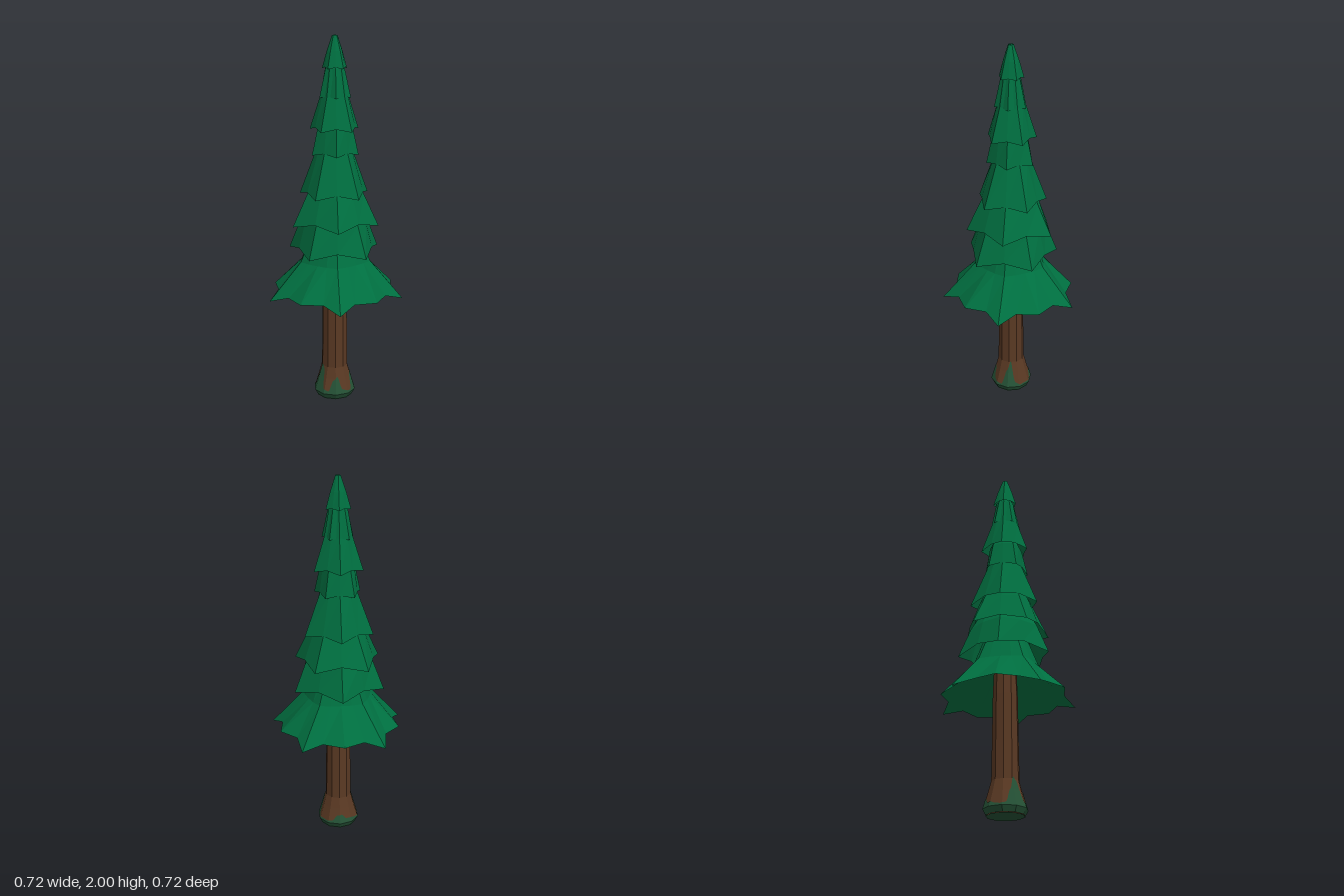
import * as THREE from 'three';

const TAU = Math.PI * 2;
const COS36 = Math.cos(Math.PI / 5);
const AXIS_Z = 0.016; // trunk axis sits slightly forward of the centre

const material = (color) =>
  new THREE.MeshStandardMaterial({ color, flatShading: true, side: THREE.DoubleSide });

// Skins closed rings; point(ring, k, angle) returns [radius, y, angle shift] at step k of n.
// Angle 0 is +z and grows toward +x.
function loft(rings, n, startAngle, point) {
  const pos = [], index = [];
  for (let i = 0; i < rings; i++) {
    for (let k = 0; k < n; k++) {
      const a = startAngle + (k / n) * TAU;
      const [r, y, shift = 0] = point(i, k, a);
      pos.push(r * Math.sin(a + shift), y, r * Math.cos(a + shift));
    }
  }
  for (let i = 0; i < rings - 1; i++) {
    for (let k = 0; k < n; k++) {
      const a = i * n + k, b = i * n + (k + 1) % n, c = a + n, d = b + n;
      index.push(a, b, d, a, d, c);
    }
  }
  const geo = new THREE.BufferGeometry();
  geo.setAttribute('position', new THREE.Float32BufferAttribute(pos, 3));
  geo.setIndex(index);
  geo.computeVertexNormals();
  return geo;
}

// Trunk outline [radius, y], shared by the bark and the moss
const SIDES = 10;
const TRUNK = [[0.098, 0.005], [0.114, 0.035], [0.089, 0.12], [0.073, 0.18], [0.067, 0.64], [0.055, 0.95]];

function trunkRadius(y) {
  let i = 0;
  while (i < TRUNK.length - 2 && y > TRUNK[i + 1][1]) i++;
  const [r0, y0] = TRUNK[i], [r1, y1] = TRUNK[i + 1];
  return r0 + (r1 - r0) * (y - y0) / (y1 - y0);
}

// Height of the moss edge every 15 degrees around the trunk
const MOSS = [0.05, 0.045, 0.13, 0.185, 0.06, 0.045, 0.045, 0.045, 0.05, 0.08, 0.085, 0.06,
  0.06, 0.05, 0.045, 0.05, 0.12, 0.19, 0.17, 0.06, 0.05, 0.11, 0.13, 0.06];

// Branch tiers: [tip radius, tip y, upper radius, upper y, top radius, top y]
const TIERS = [
  [0.256, 0.85, 0.188, 1.02, 0.14, 1.10],
  [0.242, 1.00, 0.160, 1.17, 0.12, 1.25],
  [0.194, 1.16, 0.106, 1.39, 0.08, 1.46],
  [0.130, 1.38, 0.096, 1.53, 0.06, 1.60],
  [0.137, 1.51, 0.078, 1.69, 0.050, 1.84],
  [0.087, 1.68, 0.053, 1.83, 0.03, 1.88],
  [0.069, 1.83, 0.043, 1.92, 0.015, 2.0],
];

export function createModel() {
  const group = new THREE.Group();
  const green = material(0x006f40), brown = material(0x5a3923), mossGreen = material(0x255236);

  const add = (name, geo, mat, y = 0) => {
    const mesh = new THREE.Mesh(geo, mat);
    mesh.name = name;
    mesh.position.set(0, y, AXIS_Z);
    group.add(mesh);
  };

  // Trunk with flared foot
  add('trunk', loft(TRUNK.length, SIDES, 0, (i) => TRUNK[i]), brown);

  // Moss skin hugging the faceted foot, with a wavy upper edge
  const rows = [0.005, 0.035, 0.08, 0.12, 0.18, 0.2];
  const steps = 120;
  add('moss', loft(rows.length, steps, 0, (i, k, a) => {
    const t = (k / steps) * MOSS.length, m = Math.floor(t);
    const blend = THREE.MathUtils.smoothstep(t - m, 0, 1);
    const edge = THREE.MathUtils.lerp(MOSS[m], MOSS[(m + 1) % MOSS.length], blend);
    const y = Math.min(rows[i], edge);
    const seg = TAU / SIDES;
    const facet = Math.cos(seg / 2) / Math.cos((a % seg) - seg / 2);
    return [(trunkRadius(y) + 0.003) * facet, y];
  }), mossGreen);

  // Underside of the foot
  const base = new THREE.CircleGeometry(0.101, SIDES, -Math.PI / 2);
  base.rotateX(Math.PI / 2);
  add('footUnderside', base, mossGreen, 0.002);

  // Lowest skirt: ten points, alternating long and short, with folds between.
  // The first ring closes the underside against the trunk.
  const skirt = [
    [[0.058, 0.86], [0.058, 0.86], [0.058, 0.86], [0.058, 0.86]],
    [[0.379, 0.60], [0.311, 0.634, -0.05], [0.343, 0.632], [0.311, 0.634, 0.05]],
    [[0.198, 0.80], [0.182, 0.80], [0.175, 0.80], [0.182, 0.80]],
    [[0.13, 0.95], [0.125, 0.95], [0.12, 0.95], [0.125, 0.95]],
  ];
  add('lowestBranches', loft(4, 20, Math.PI, (i, k) => skirt[i][k % 4]), green);

  // Five-pointed tiers, each turned against the one below, rounder toward the
  // top and with raised edge middles
  const roundness = [COS36, 0.91, 0.93];
  TIERS.forEach((t, n) => {
    const lift = [0.12 * t[0], 0, 0];
    add(`branchTier${n + 2}`, loft(3, 10, n % 2 ? Math.PI : 0, (i, k) => {
      const r = t[i * 2], y = t[i * 2 + 1];
      return k % 2 ? [r * roundness[i], y + lift[i]] : [r, y];
    }), green);
  });

  // Flat cap closing the tip
  const cap = new THREE.CircleGeometry(0.015, 5, -Math.PI / 2);
  cap.rotateX(-Math.PI / 2);
  add('tip', cap, green, 2);

  return group;
}
